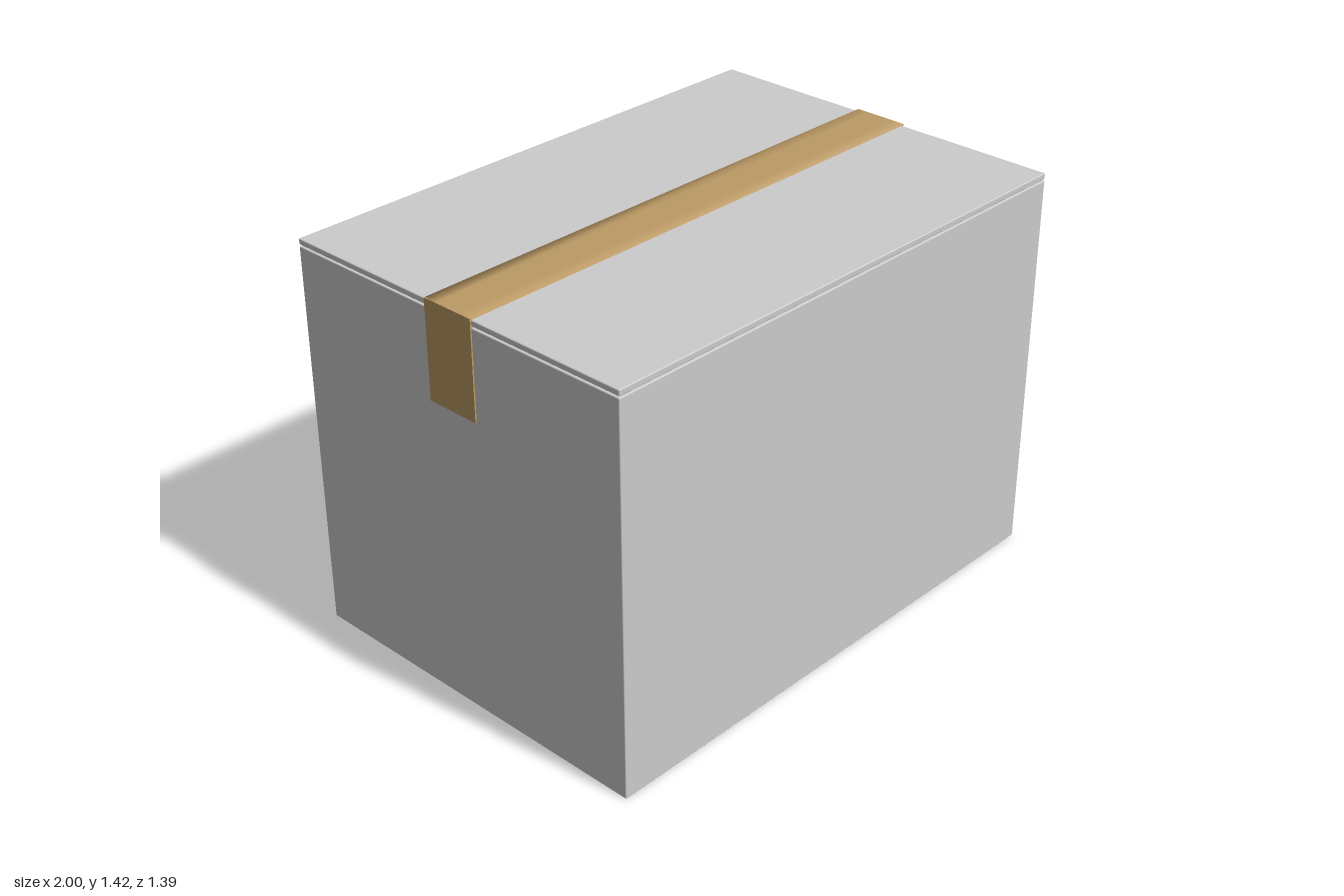
import * as THREE from 'three';
import { RoundedBoxGeometry } from 'three/addons/geometries/RoundedBoxGeometry.js';

const W = 1.99, D = 1.39, TOP = 1.42, TAPE = 0.2;

export function createModel() {
  const model = new THREE.Group();
  model.name = 'cardboardBox';
  const card = new THREE.MeshStandardMaterial({ color: 0xcccccc });
  const tape = new THREE.MeshStandardMaterial({ color: 0xbc9a65, side: THREE.DoubleSide });

  function add(name, geometry, material, x, y, z) {
    const mesh = new THREE.Mesh(geometry, material);
    mesh.name = name;
    mesh.position.set(x, y, z);
    model.add(mesh);
  }

  // Main carton, and a recessed core that leaves a fine groove under the flaps
  add('carton', new RoundedBoxGeometry(W, 1.394, D, 2, 0.004), card, 0, 0.697, 0);
  add('grooveCore', new THREE.BoxGeometry(W - 0.02, 0.02, D - 0.02), card, 0, 1.399, 0);

  for (const s of [-1, 1]) {
    // Two closing flaps meeting under the tape
    const flapDepth = D / 2 - 0.003;
    add(s > 0 ? 'frontFlap' : 'backFlap',
      new RoundedBoxGeometry(W, 0.021, flapDepth, 2, 0.004), card,
      0, TOP - 0.0105, s * (0.003 + flapDepth / 2));

    // Tape ends folded down the sides
    add(s > 0 ? 'leftTapeEnd' : 'rightTapeEnd',
      new THREE.BoxGeometry(0.006, 0.345, TAPE), tape, s * 0.997, 1.2525, 0);
  }

  // Tape along the seam: a flat strip with softly shaded, turned-down edges
  const strip = new THREE.PlaneGeometry(2, 0.24, 1, 6).rotateX(-Math.PI / 2);
  const p = strip.attributes.position;
  for (let i = 0; i < p.count; i++) {
    const z = p.getZ(i);
    p.setY(i, Math.abs(z) > 0.1 ? -0.04 : 0);
    p.setZ(i, THREE.MathUtils.clamp(z * 1.25, -TAPE / 2, TAPE / 2));
  }
  strip.computeVertexNormals();
  add('seamTape', strip, tape, 0, 1.425, 0);

  return model;
}
